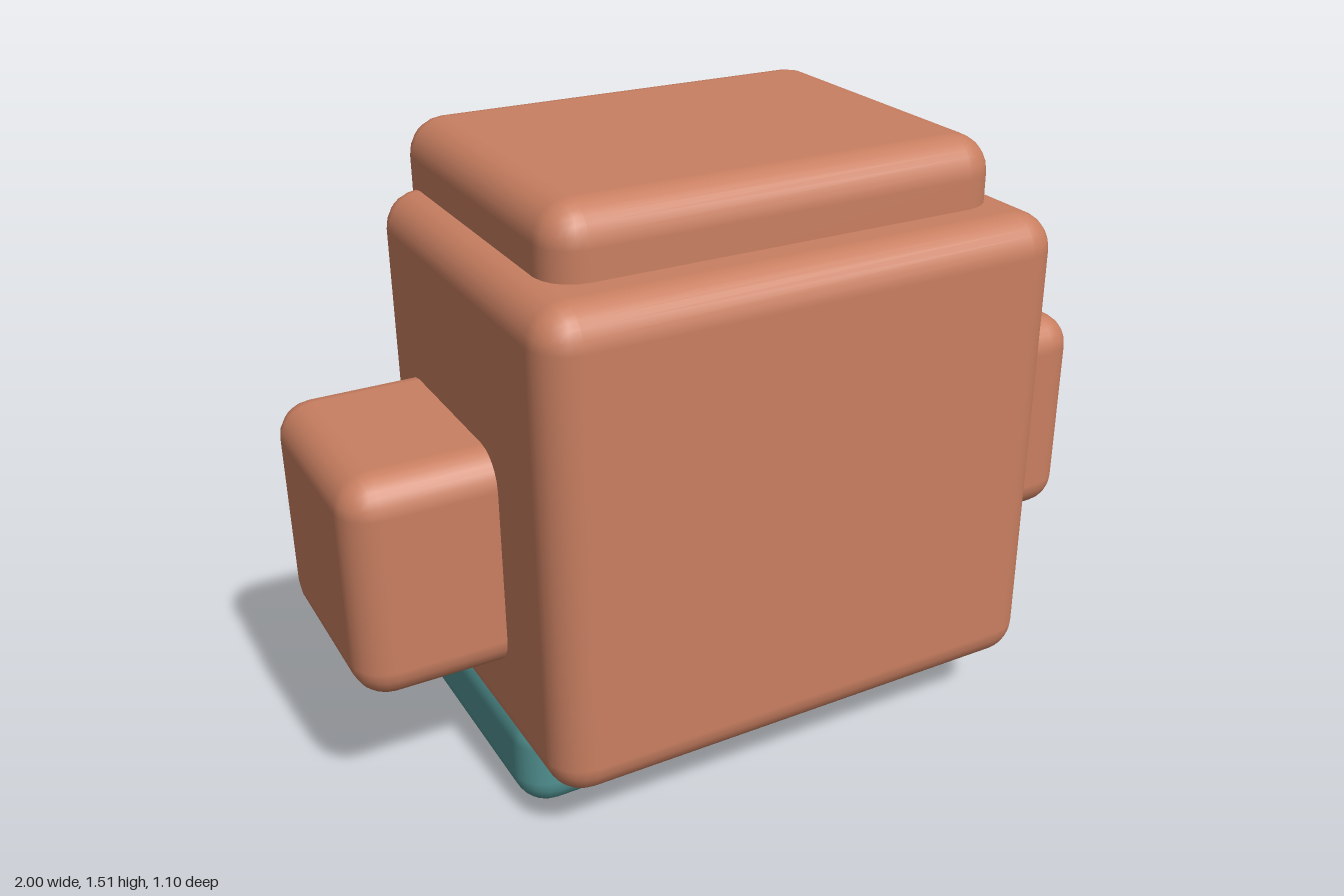
import * as THREE from 'three';
import { RoundedBoxGeometry } from 'three/addons/geometries/RoundedBoxGeometry.js';

function material(name, color) {
  const m = new THREE.MeshStandardMaterial({ color });
  m.name = name;
  return m;
}

export function createModel() {
  const group = new THREE.Group();
  const clay = material('clay', 0xc97f61);
  const teal = material('teal', 0x529292);
  const cream = material('cream', 0xdcc59c);
  const gold = material('gold', 0xdcae60);

  // Rounded box given by its lower and upper bounds on each axis
  function block(name, mat, [x0, x1], [y0, y1], [z0, z1], radius) {
    const geometry = new RoundedBoxGeometry(x1 - x0, y1 - y0, z1 - z0, 3, radius);
    const mesh = new THREE.Mesh(geometry, mat);
    mesh.name = name;
    mesh.position.set((x0 + x1) / 2, (y0 + y1) / 2, (z0 + z1) / 2);
    group.add(mesh);
    return mesh;
  }

  // Torso and the overhanging slab on top
  block('body', clay, [-0.655, 0.655], [0.16, 1.35], [-0.435, 0.548], 0.09);
  block('headSlab', clay, [-0.57, 0.57], [1.21, 1.51], [-0.47, 0.408], 0.09);

  // Face plate and belt on the -z side
  block('facePlate', cream, [-0.345, 0.345], [0.875, 1.235], [-0.503, -0.4], 0.04);
  block('belt', gold, [-0.475, 0.475], [0.435, 0.59], [-0.48, -0.4], 0.03);

  // Paired arms, feet and eyes
  for (const [side, s] of [['left', 1], ['right', -1]]) {
    const span = (a, b) => (s > 0 ? [a, b] : [-b, -a]);
    block(side + 'Arm', clay, span(0.45, 1), [0.373, 0.93], [-0.293, 0.266], 0.085);
    block(side + 'Foot', teal, span(0.14, 0.662), [0, 0.265], [-0.345, 0.357], 0.085);

    const eye = new THREE.Mesh(new THREE.SphereGeometry(1, 20, 14), teal);
    eye.name = side + 'Eye';
    eye.scale.set(0.04, 0.073, 0.021);
    eye.position.set(s * 0.175, 1.09, -0.527);
    group.add(eye);
  }

  return group;
}
